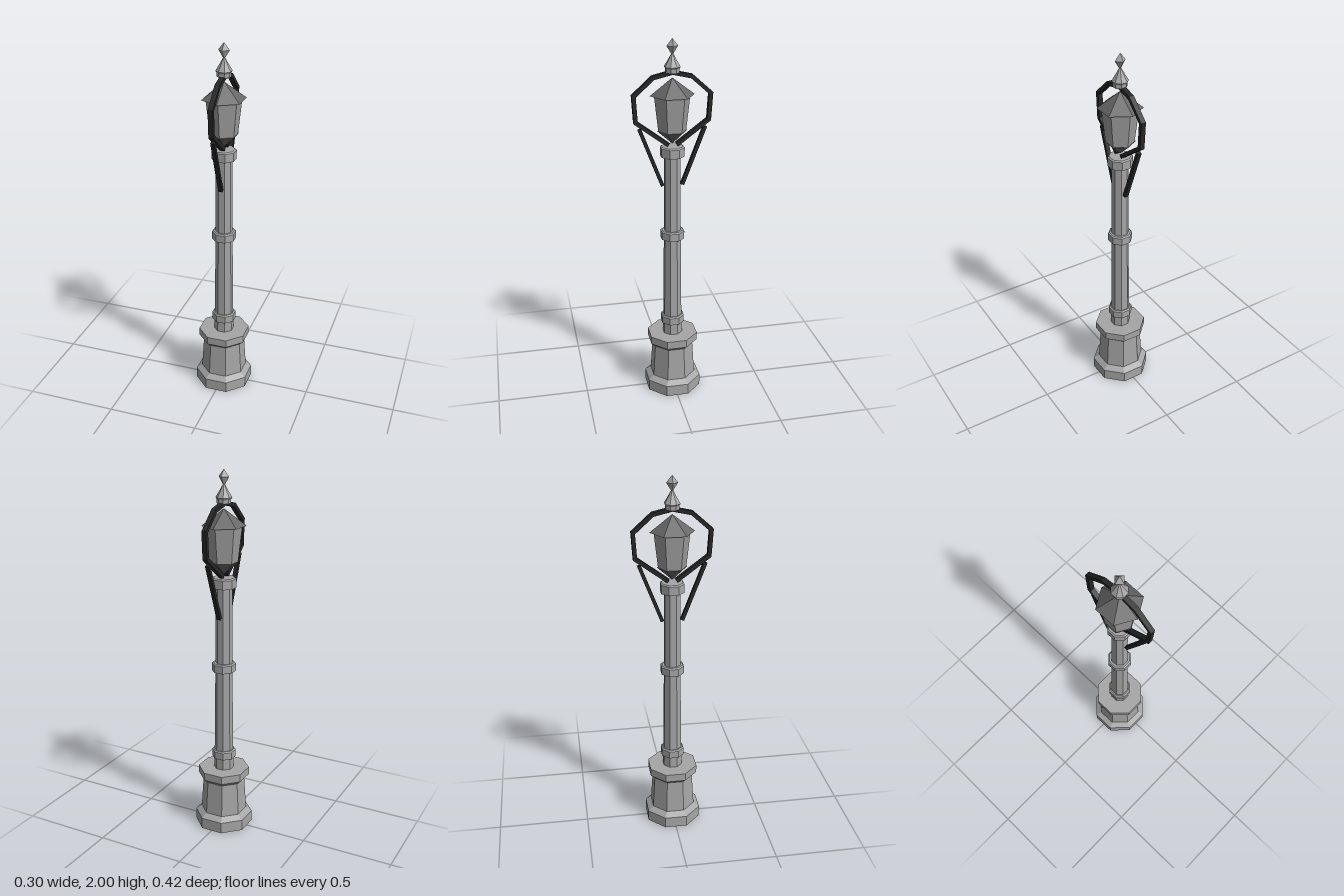
import * as THREE from 'three';

const material = (name, color) =>
  Object.assign(new THREE.MeshStandardMaterial({ color, flatShading: true, side: THREE.DoubleSide }), { name });

export function createModel() {
  const model = new THREE.Group();
  model.name = 'streetLamp';
  const stone = material('castGrey', 0xa6a6a6);
  const glass = material('paneGrey', 0x9e9e9e);
  const roofGrey = material('roofGrey', 0x686868);
  const iron = material('blackIron', 0x262626);

  const add = (name, geometry, mat) => {
    const mesh = new THREE.Mesh(geometry, mat);
    mesh.name = name;
    model.add(mesh);
    return mesh;
  };

  // Faceted turned part; profile is [radius, height] from bottom to top
  const turned = (name, mat, sides, profile, phi = 0, scale = 1) => {
    const points = profile.map(([r, y]) => new THREE.Vector2(r * scale, y));
    const geometry = new THREE.LatheGeometry(points, sides, phi).toNonIndexed();
    geometry.computeVertexNormals();
    return add(name, geometry, mat);
  };

  // Octagonal part with flat sides on the axes, sized by half width
  const octagon = (name, profile) =>
    turned(name, stone, 8, profile, Math.PI / 8, 1 / Math.cos(Math.PI / 8));

  octagon('pedestal', [
    [0.148, 0], [0.148, 0.063], [0.118, 0.087], [0.107, 0.275],
    [0.131, 0.298], [0.131, 0.342], [0.05, 0.342],
  ]);
  octagon('shaft', [[0.051, 0.342], [0.05, 0.41], [0.048, 0.46], [0.043, 0.95], [0.041, 1.39]]);

  // Collars around the shaft
  for (const [name, bottom, top] of [
    ['lowerCollar', 0.408, 0.455], ['middleCollar', 0.922, 0.97], ['topCollar', 1.388, 1.442],
  ]) {
    const inner = name === 'topCollar' ? 0 : 0.043;
    octagon(name, [
      [0.043, bottom - 0.004], [0.061, bottom], [0.061, top - 0.006], [0.054, top], [inner, top],
    ]);
  }

  // Six-sided lantern
  turned('lanternBottom', roofGrey, 6, [[0, 1.455], [0.079, 1.525], [0, 1.525]]);
  turned('lanternPanes', glass, 6, [[0.074, 1.525], [0.095, 1.712]]);
  turned('lanternRoof', roofGrey, 6, [[0, 1.712], [0.117, 1.712], [0, 1.802]]);

  // Finial
  octagon('finialBase', [
    [0, 1.828], [0.034, 1.828], [0.034, 1.848], [0.04, 1.858], [0.022, 1.89], [0.004, 1.925],
  ]);
  turned('finialTip', stone, 4, [[0.004, 1.92], [0.03, 1.962], [0, 2]]);

  // Flat bar following a [z, y] path with mitred corners
  const bar = (name, path, thickness, width) => {
    const pts = path.map(([z, y]) => new THREE.Vector2(z, y));
    const edge = (sign) => pts.map((p, i) => {
      const before = p.clone().sub(pts[Math.max(i - 1, 0)]).normalize();
      const after = pts[Math.min(i + 1, pts.length - 1)].clone().sub(p).normalize();
      const along = before.clone().add(after).normalize();
      const run = i ? before : after;
      const reach = (sign * thickness) / 2 / along.dot(run);
      return new THREE.Vector2(p.x - along.y * reach, p.y + along.x * reach);
    });
    const shape = new THREE.Shape([...edge(1), ...edge(-1).reverse()]);
    const geometry = new THREE.ExtrudeGeometry(shape, { depth: width, bevelEnabled: false });
    geometry.translate(0, 0, -width / 2).rotateY(-Math.PI / 2);
    return add(name, geometry, iron);
  };

  // Hoop around the lantern
  const half = [[0.022, 1.45], [0.192, 1.577], [0.201, 1.715], [0.1, 1.806]];
  const mirrored = half.map(([z, y]) => [-z, y]).reverse();
  bar('lanternHoop', [...half, [0, 1.829], ...mirrored], 0.021, 0.026);

  // Slanted braces from the shaft to the hoop
  for (const side of [1, -1]) {
    bar(side > 0 ? 'frontBrace' : 'backBrace', [[side * 0.053, 1.227], [side * 0.173, 1.54]], 0.019, 0.022);
  }

  return model;
}
